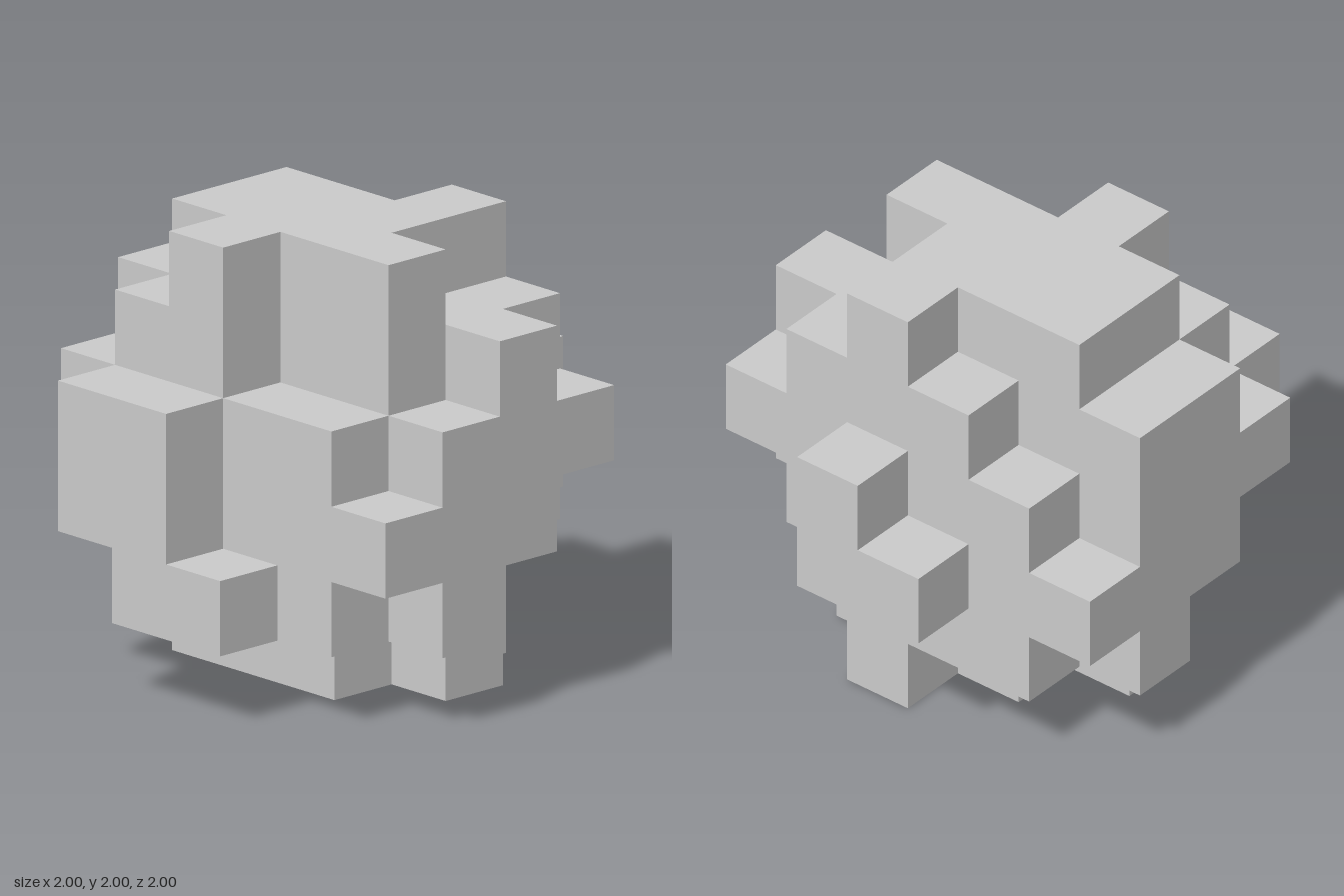
import * as THREE from 'three';

const N = 6;          // cells along each side
const S = 2 / N;      // cell size

// Cells of a 4x4 relief pattern; place(row, column) gives the cell, both counted 1..4
function panel(rows, place) {
  const cells = [];
  rows.forEach((row, r) => [...row].forEach((ch, c) => {
    if (ch === '#') cells.push(place(r + 1, c + 1));
  }));
  return cells;
}

// Solid 4x4x4 block with a few notched edges
function coreCells() {
  const notches = new Set(['4,1,4', '4,4,1', '1,4,3', '1,4,4']);
  const cells = [];
  for (let x = 1; x <= 4; x++)
    for (let y = 1; y <= 4; y++)
      for (let z = 1; z <= 4; z++)
        if (!notches.has(`${x},${y},${z}`)) cells.push([x, y, z]);
  return cells;
}

// Flat quads for every cell side that does not touch another filled cell
function exposedFaces(cells, filled) {
  const positions = [], normals = [];
  for (const cell of cells) {
    for (let axis = 0; axis < 3; axis++) {
      for (const dir of [-1, 1]) {
        const next = [...cell];
        next[axis] += dir;
        if (filled.has(next.join())) continue;
        const u = (axis + 1) % 3, v = (axis + 2) % 3;
        const quad = [[0, 0], [1, 0], [1, 1], [0, 1]].map(([a, b]) => {
          const p = [...cell];
          p[axis] += dir > 0 ? 1 : 0;
          p[u] += a;
          p[v] += b;
          return [p[0] * S - 1, p[1] * S, p[2] * S - 1];
        });
        if (dir < 0) quad.reverse();
        const normal = [0, 0, 0];
        normal[axis] = dir;
        for (const i of [0, 1, 2, 0, 2, 3]) {
          positions.push(...quad[i]);
          normals.push(...normal);
        }
      }
    }
  }
  const geometry = new THREE.BufferGeometry();
  geometry.setAttribute('position', new THREE.Float32BufferAttribute(positions, 3));
  geometry.setAttribute('normal', new THREE.Float32BufferAttribute(normals, 3));
  return geometry;
}

export function createModel() {
  const parts = {
    core: coreCells(),
    // Rows run back to front, columns along x
    topPanel: panel(['.##.', '###.', '.###', '.#..'], (r, c) => [c, 5, r]),
    bottomPanel: panel(['.#..', '.##.', '.###', '..#.'], (r, c) => [c, 0, r]),
    // Rows run top to bottom, columns along x
    frontPanel: panel(['..#.', '.###', '###.', '.#..'], (r, c) => [c, 5 - r, 5]),
    backPanel: panel(['.##.', '###.', '.###', '..#.'], (r, c) => [c, 5 - r, 0]),
    // Rows run top to bottom, columns along z
    leftPanel: panel(['....', '..#.', '.##.', '....'], (r, c) => [5, 5 - r, c]),
    rightPanel: panel(['....', '##..', '##..', '.##.'], (r, c) => [0, 5 - r, c]),
  };
  const filled = new Set(Object.values(parts).flat().map((cell) => cell.join()));
  const material = new THREE.MeshStandardMaterial({ color: 0xcccccc, flatShading: true });

  const group = new THREE.Group();
  group.name = 'blockPuzzle';
  for (const [name, cells] of Object.entries(parts)) {
    const mesh = new THREE.Mesh(exposedFaces(cells, filled), material);
    mesh.name = name;
    group.add(mesh);
  }
  return group;
}
